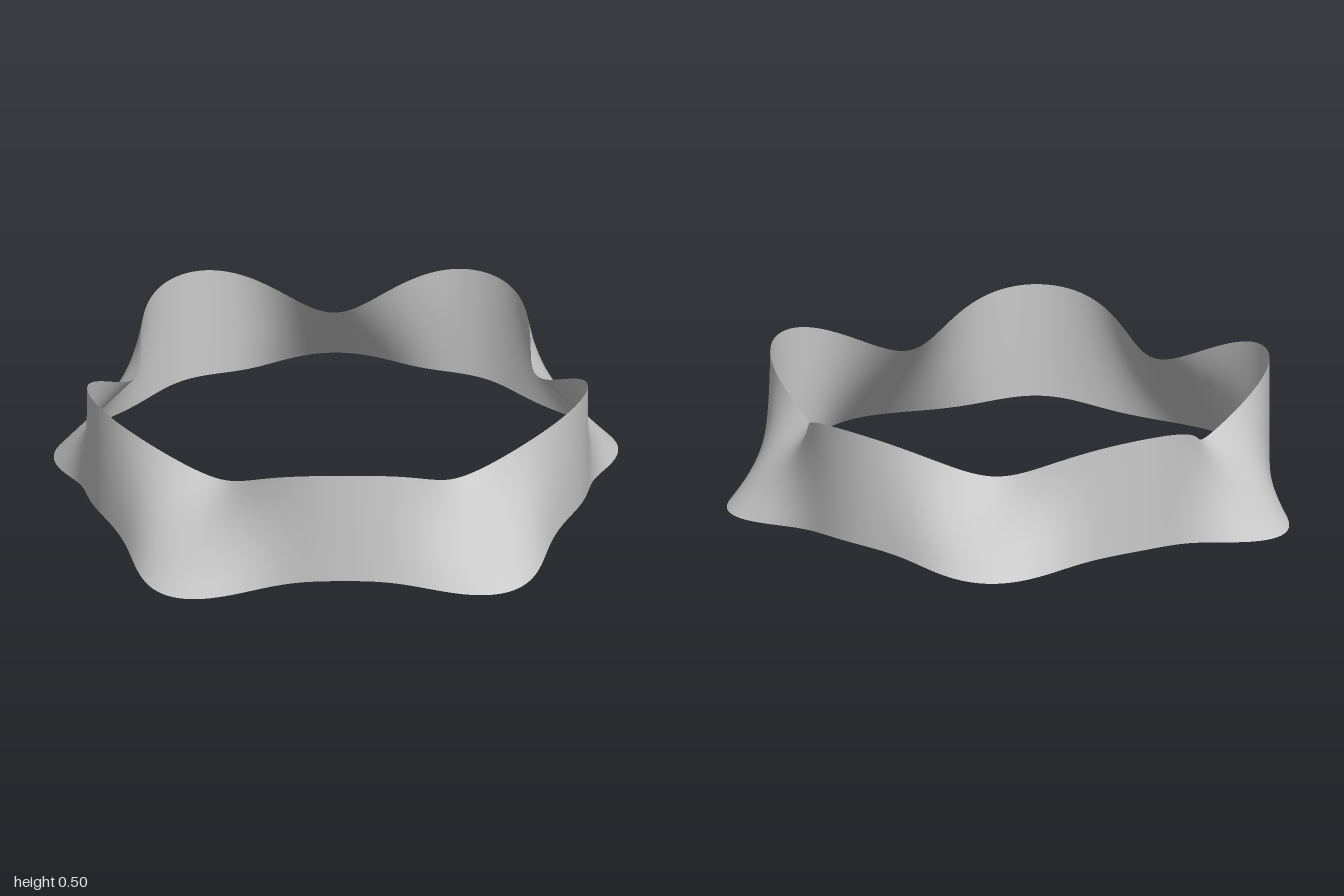
import * as THREE from 'three';

const LOBES = 5;
const SEGMENTS = 360;
const ROWS = 6;
const Z_SHIFT = 0.065;

// Mean plus first and second lobe harmonics
const wave = (t, a, b, c) => a + b * Math.cos(LOBES * t) + c * Math.cos(2 * LOBES * t);

// Points on a rim; the angle runs from the front (+z) towards +x
const rimPoint = (t, r, y) => new THREE.Vector3(r * Math.sin(t), y, r * Math.cos(t) + Z_SHIFT);

// Upper rim: crests where it swings out, dips where it leans in
const upperRim = t => rimPoint(t, wave(t, 0.832, 0.085, -0.008), wave(t, 0.43, 0.0775, -0.0075));

// Lower rim: flares out under each dip, with a slightly uneven hem
function lowerRim(t) {
  const dip = (1 - Math.cos(LOBES * t)) / 2;
  const low = 0.024 - 0.022 * Math.cos(t) + 0.01 * Math.sin(t);
  return rimPoint(t, wave(t, 0.946, -0.065, 0.0237), 0.086 * (1 - dip) + low * dip);
}

export function createModel() {
  const positions = [];
  const indices = [];

  // Straight rulings from the lower rim to the upper rim
  for (let i = 0; i < SEGMENTS; i++) {
    const t = (i / SEGMENTS) * Math.PI * 2;
    const low = lowerRim(t);
    const high = upperRim(t);
    for (let j = 0; j <= ROWS; j++) positions.push(...low.clone().lerp(high, j / ROWS));
  }

  // Closed loop of outward-facing quads
  const stride = ROWS + 1;
  for (let i = 0; i < SEGMENTS; i++) {
    for (let j = 0; j < ROWS; j++) {
      const a = i * stride + j;
      const b = ((i + 1) % SEGMENTS) * stride + j;
      indices.push(a, b, b + 1, a, b + 1, a + 1);
    }
  }

  const geometry = new THREE.BufferGeometry();
  geometry.setAttribute('position', new THREE.Float32BufferAttribute(positions, 3));
  geometry.setIndex(indices);
  geometry.computeVertexNormals();

  const band = new THREE.Mesh(
    geometry,
    new THREE.MeshStandardMaterial({ color: 0xcccccc, side: THREE.DoubleSide })
  );
  band.name = 'wavyBand';

  const group = new THREE.Group();
  group.name = 'wavyRing';
  group.add(band);
  return group;
}
